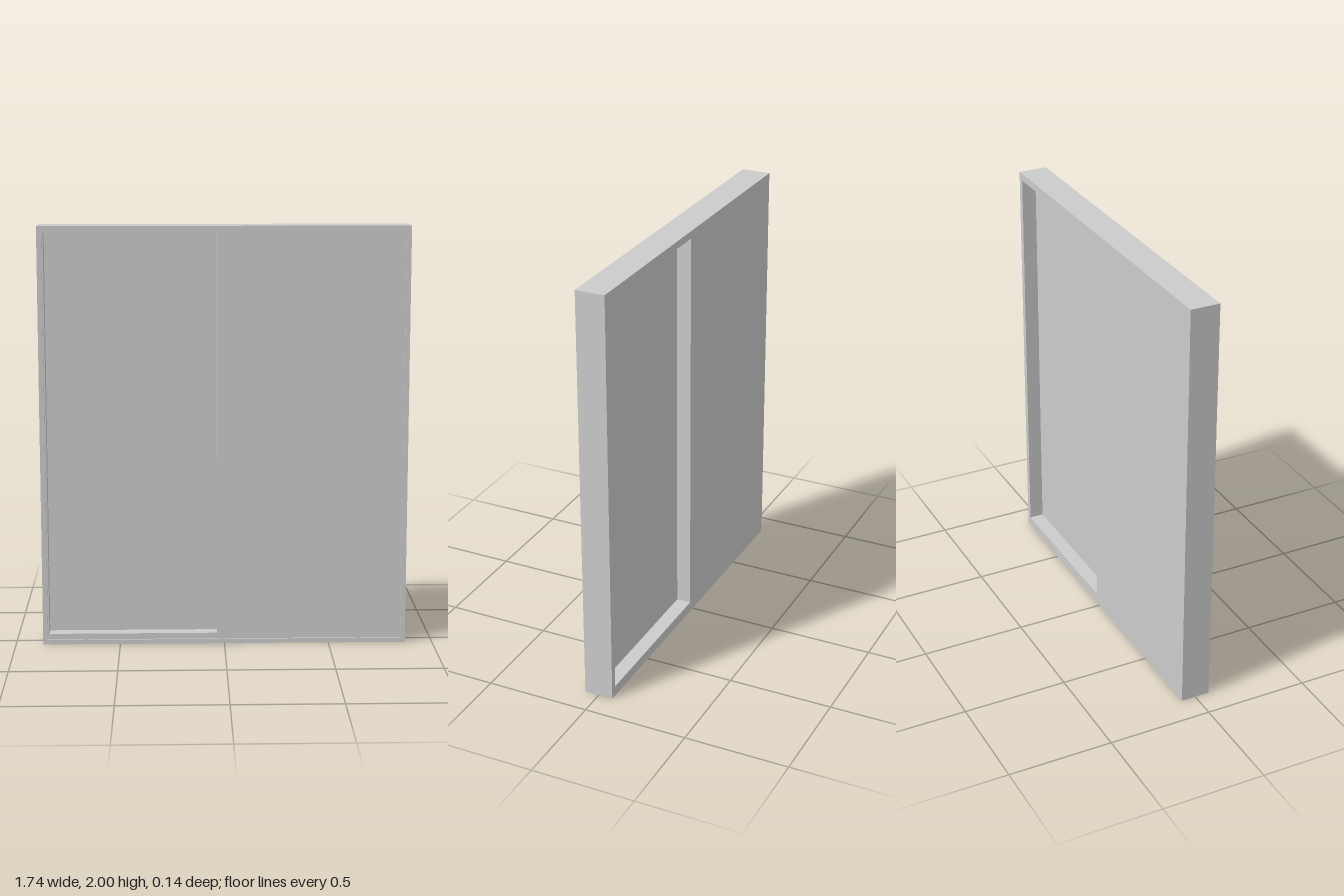
import * as THREE from 'three';

const W = 0.87, H = 2; // half width and height of the frame
const OPEN = { x: 0.84, y0: 0.05, y1: 1.965 }; // opening that holds the sashes
const LIP = { x: 0.847, y0: 0.022, y1: 1.985 }; // wider opening of the front lip

function rect(path, x, y0, y1) {
  path.moveTo(-x, y0);
  path.lineTo(x, y0);
  path.lineTo(x, y1);
  path.lineTo(-x, y1);
  path.closePath();
  return path;
}

export function createModel() {
  const group = new THREE.Group();
  const material = new THREE.MeshStandardMaterial({ color: 0xcccccc });

  const add = (name, geometry, x = 0, y = 0, z = 0) => {
    const mesh = new THREE.Mesh(geometry, material);
    mesh.name = name;
    mesh.position.set(x, y, z);
    group.add(mesh);
  };

  // Rectangular ring between depths z0 and z1
  const addRing = (name, hole, z0, z1) => {
    const shape = rect(new THREE.Shape(), W, 0, H);
    shape.holes.push(rect(new THREE.Path(), hole.x, hole.y0, hole.y1));
    add(name, new THREE.ExtrudeGeometry(shape, { depth: z1 - z0, bevelEnabled: false }), 0, 0, z0);
  };
  addRing('outerFrame', OPEN, -0.07, 0.062);
  addRing('frontLip', LIP, 0.062, 0.07);

  // Two sliding panels, one behind the other, overlapping at the middle
  const addPanel = (name, x0, x1, z0, z1) => {
    const height = OPEN.y1 - OPEN.y0;
    add(name, new THREE.BoxGeometry(x1 - x0, height, z1 - z0),
      (x0 + x1) / 2, OPEN.y0 + height / 2, (z0 + z1) / 2);
  };
  addPanel('frontSlidingPanel', -0.035, OPEN.x, 0, 0.062);
  addPanel('backSlidingPanel', -OPEN.x, 0.03, -0.07, 0);

  return group;
}
